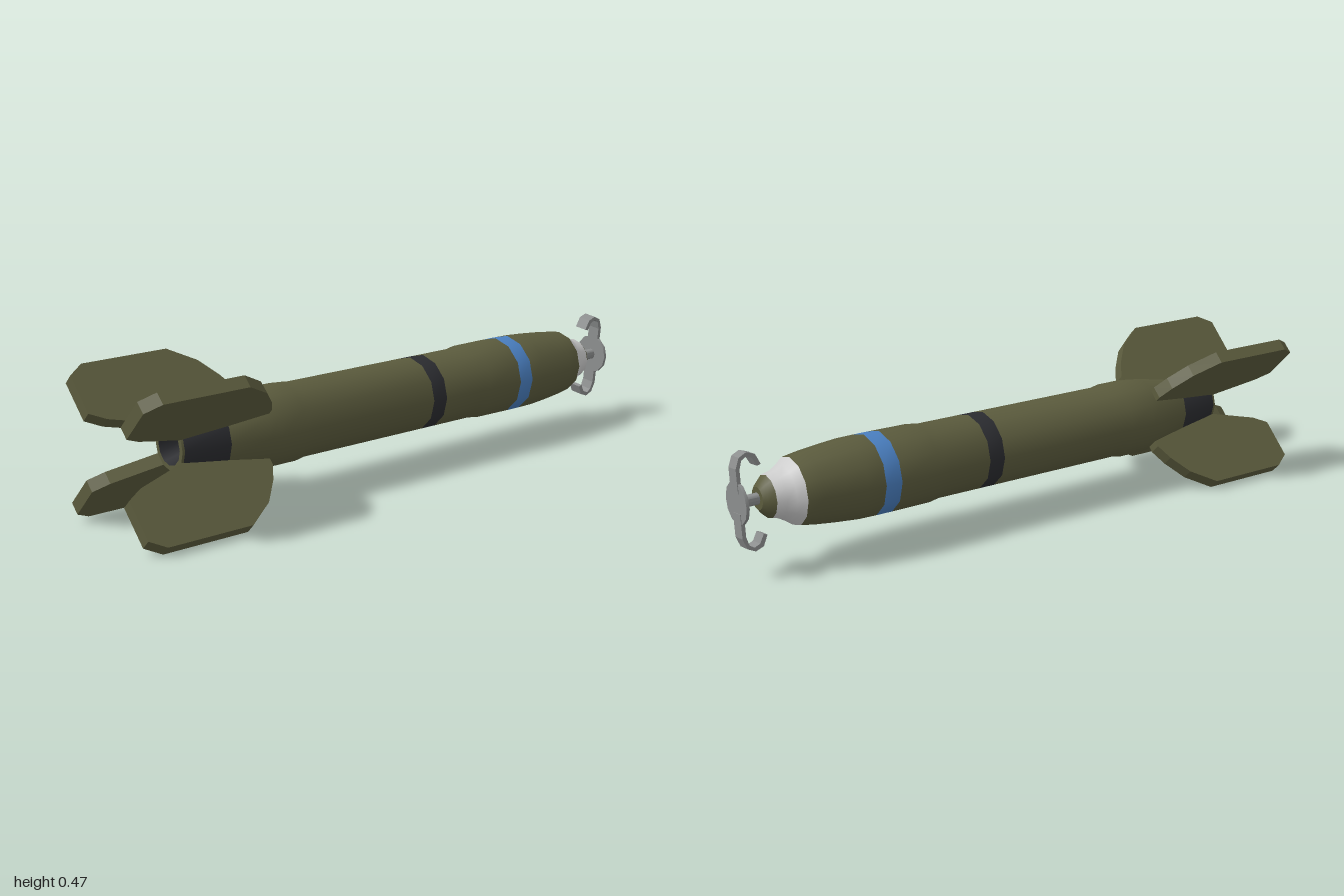
import * as THREE from 'three';
import { toCreasedNormals } from 'three/addons/utils/BufferGeometryUtils.js';

const SIDES = 12;
const AXIS_Y = 0.237;

const mat = (color) => new THREE.MeshStandardMaterial({ color });
const olive = mat(0x5b5b3d);
const black = mat(0x2b2c30);
const blue = mat(0x4a7fc0);
const white = mat(0xcccccc);
const steel = mat(0x8c8e8e);
const core = mat(0x5a5860);

export function createModel() {
  const model = new THREE.Group();
  const bomb = new THREE.Group();
  bomb.name = 'bomb';
  bomb.position.y = AXIS_Y;
  model.add(bomb);

  const add = (name, geometry, material, rotZ = 0) => {
    const mesh = new THREE.Mesh(geometry, material);
    mesh.name = name;
    mesh.rotation.z = rotZ;
    bomb.add(mesh);
  };

  // Turned part along z; profile is [z, radius], outside faces run with rising z
  const turned = (name, material, profile) => {
    const points = profile.map(([z, r]) => new THREE.Vector2(r, z));
    const geometry = new THREE.LatheGeometry(points, SIDES).rotateX(Math.PI / 2);
    add(name, toCreasedNormals(geometry, 0.65), material);
  };

  // Flat outline extruded symmetrically about its plane
  const plate = (outline, depth) => {
    const shape = new THREE.Shape(outline.map(([x, y]) => new THREE.Vector2(x, y)));
    return new THREE.ExtrudeGeometry(shape, { depth, bevelEnabled: false }).translate(0, 0, -depth / 2);
  };

  // Nose
  turned('fuzeCap', olive, [[-0.93, 0], [-0.93, 0.035], [-0.92, 0.048], [-0.9, 0.066]]);
  turned('noseCone', white, [[-0.9, 0.066], [-0.87, 0.073], [-0.845, 0.087], [-0.82, 0.105]]);
  turned('noseSection', olive, [[-0.82, 0.105], [-0.77, 0.113], [-0.7, 0.121], [-0.63, 0.127], [-0.57, 0.128]]);
  turned('blueBand', blue, [[-0.57, 0.128], [-0.515, 0.128]]);

  // Main body
  turned('forwardBody', olive, [[-0.515, 0.128], [-0.38, 0.127], [-0.345, 0.121], [-0.19, 0.121]]);
  turned('middleBand', black, [[-0.19, 0.121], [-0.135, 0.121]]);
  turned('rearBody', olive, [
    [-0.135, 0.121], [0.345, 0.121], [0.38, 0.127], [0.47, 0.127], [0.51, 0.122], [0.635, 0.098],
  ]);

  // Tail with hollow end
  turned('tailBand', black, [[0.635, 0.098], [0.782, 0.074]]);
  turned('tailRim', olive, [[0.782, 0.074], [0.79, 0.073], [0.79, 0.058]]);
  turned('tailRecess', black, [[0.79, 0.058], [0.72, 0.035]]);
  turned('tailCore', core, [[0.72, 0.035], [0.72, 0]]);

  // Four fins set on the diagonals, outline is [radius, z]
  const fin = plate([
    [0.06, 0.5], [0.14, 0.5], [0.19, 0.525], [0.255, 0.575], [0.3125, 0.66],
    [0.3125, 0.95], [0.28, 1], [0.147, 1], [0.118, 0.95], [0.07, 0.79],
  ], 0.041).rotateX(Math.PI / 2);
  for (let i = 0; i < 4; i++) add('fin', fin, olive, Math.PI / 4 + (i * Math.PI) / 2);

  // Arming propeller: shaft, hub disc and two hooked vanes
  turned('propellerShaft', steel, [[-0.99, 0.018], [-0.925, 0.018]]);
  turned('propellerHub', steel, [[-0.998, 0], [-0.998, 0.066], [-0.988, 0.066], [-0.988, 0]]);
  const vane = plate([
    [-1, 0.03], [-0.988, 0.03], [-0.988, 0.1], [-0.98, 0.126], [-0.965, 0.136], [-0.946, 0.128],
    [-0.932, 0.102], [-0.92, 0.106], [-0.935, 0.138], [-0.962, 0.148], [-0.987, 0.136], [-1, 0.104],
  ], 0.046).rotateY(-Math.PI / 2);
  for (let i = 0; i < 2; i++) add('propellerVane', vane, steel, -0.1 + i * Math.PI);

  return model;
}
